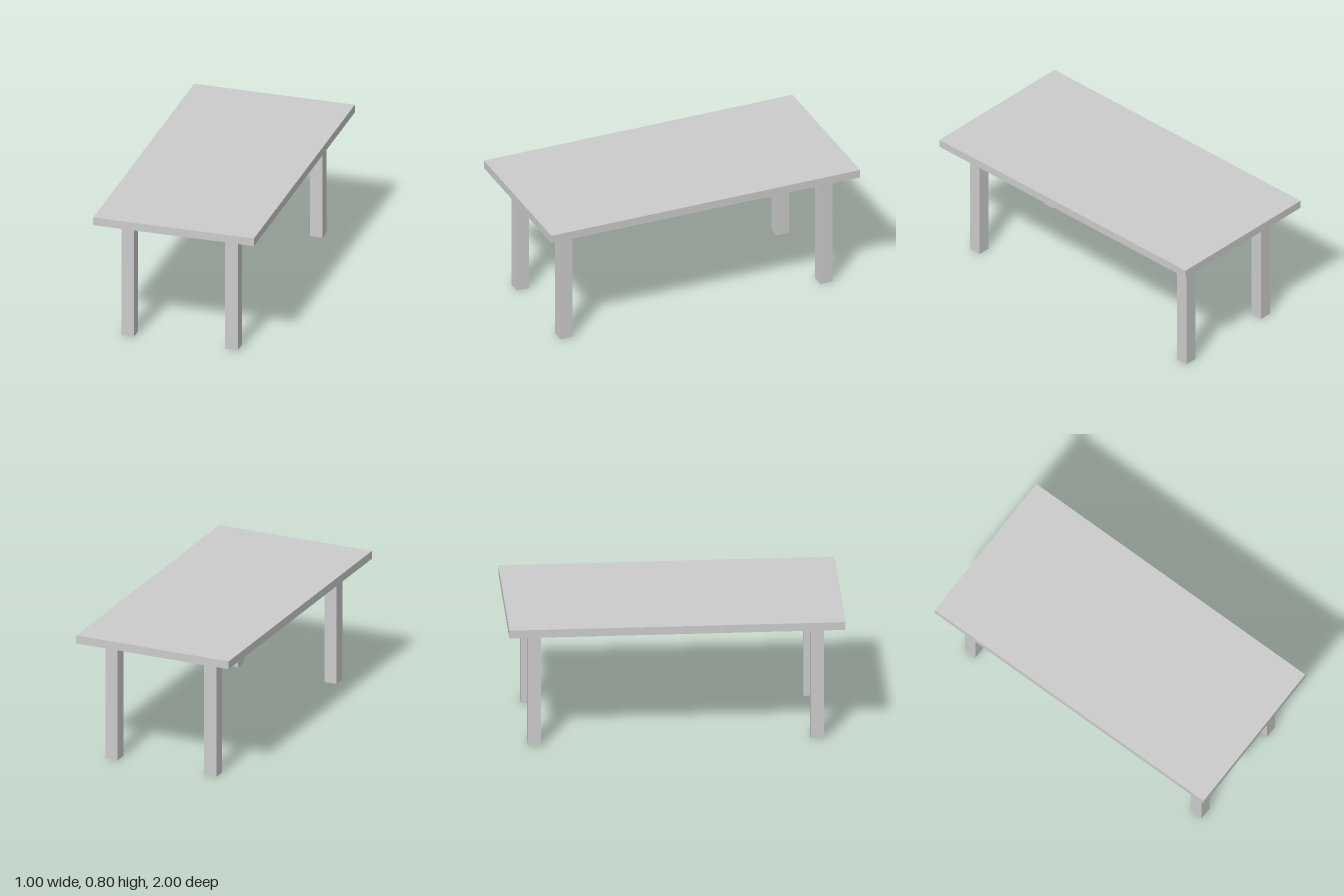
import * as THREE from 'three';

const HEIGHT = 0.8, TOP = 0.05, LEG = 0.079;
const material = new THREE.MeshStandardMaterial({ color: 0xcccccc, flatShading: true });

function box(name, w, h, d, x, y, z) {
  const mesh = new THREE.Mesh(new THREE.BoxGeometry(w, h, d), material);
  mesh.name = name;
  mesh.position.set(x, y, z);
  return mesh;
}

export function createModel() {
  const table = new THREE.Group();
  table.name = 'table';

  // Flat rectangular top
  table.add(box('tableTop', 1, TOP, 2, 0, HEIGHT - TOP / 2, 0));

  // Four square legs, set in from the edges
  const legHeight = HEIGHT - TOP;
  for (const [side, x] of [['Left', 0.323], ['Right', -0.323]]) {
    for (const [end, z] of [['front', 0.841], ['back', -0.841]]) {
      table.add(box(`${end}${side}Leg`, LEG, legHeight, LEG, x, legHeight / 2, z));
    }
  }
  return table;
}
